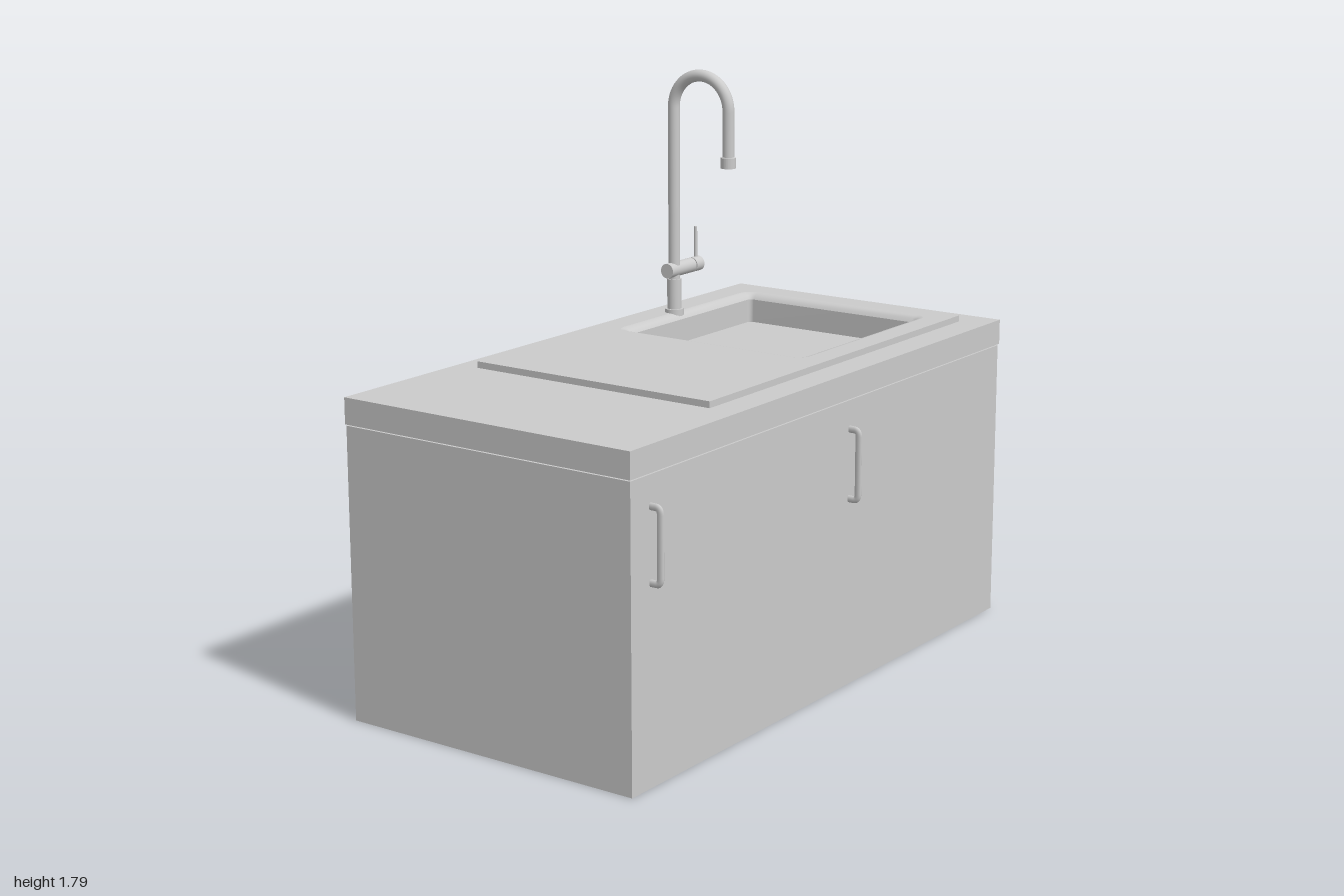
import * as THREE from 'three';

const material = new THREE.MeshStandardMaterial({ color: 0xcccccc, side: THREE.DoubleSide });

function add(parent, name, geometry, x = 0, y = 0, z = 0) {
  const mesh = new THREE.Mesh(geometry, material);
  mesh.name = name;
  mesh.position.set(x, y, z);
  parent.add(mesh);
  return mesh;
}

// Bowl opening in plan, grown by an offset
const BOWL = { x0: 0.12, x1: 0.80, z0: -0.355, z1: 0.29 };

function bowlOutline(offset) {
  const r = 0.015 + offset, points = [];
  const corners = [
    [BOWL.x1, BOWL.z1, 0], [BOWL.x0, BOWL.z1, 1],
    [BOWL.x0, BOWL.z0, 2], [BOWL.x1, BOWL.z0, 3],
  ];
  for (const [x, z, quarter] of corners) {
    const cx = x + (x === BOWL.x1 ? -0.015 : 0.015);
    const cz = z + (z === BOWL.z1 ? -0.015 : 0.015);
    for (let i = 0; i <= 6; i++) {
      const a = (quarter + i / 6) * Math.PI / 2;
      points.push(new THREE.Vector2(cx + r * Math.cos(a), cz + r * Math.sin(a)));
    }
  }
  return points;
}

// Horizontal slab with the bowl cut out of it
function slab(x0, x1, z0, z1, y0, y1, offset) {
  const shape = new THREE.Shape([[x0, z0], [x1, z0], [x1, z1], [x0, z1]]
    .map(([x, z]) => new THREE.Vector2(x, z)));
  shape.holes.push(new THREE.Path(bowlOutline(offset)));
  const geometry = new THREE.ExtrudeGeometry(shape, { depth: y1 - y0, bevelEnabled: false });
  return geometry.rotateX(Math.PI / 2).translate(0, y1, 0);
}

// Skin between rings given as [offset, height], from the rim downwards
function loft(rings) {
  const positions = [], index = [];
  let n = 0;
  for (const [offset, y] of rings) {
    const outline = bowlOutline(offset);
    n = outline.length;
    for (const p of outline) positions.push(p.x, y, p.y);
  }
  for (let r = 0; r < rings.length - 1; r++) {
    for (let i = 0; i < n; i++) {
      const a = r * n + i, b = r * n + (i + 1) % n;
      index.push(a, b, a + n, b, b + n, a + n);
    }
  }
  const geometry = new THREE.BufferGeometry();
  geometry.setAttribute('position', new THREE.Float32BufferAttribute(positions, 3));
  geometry.setIndex(index);
  geometry.computeVertexNormals();
  return geometry;
}

function makeHandle(x) {
  const path = new THREE.CurvePath();
  const v = (y, z) => new THREE.Vector3(0, y, z);
  path.add(new THREE.LineCurve3(v(0.592, 0.485), v(0.592, 0.508)));
  path.add(new THREE.QuadraticBezierCurve3(v(0.592, 0.508), v(0.592, 0.523), v(0.61, 0.523)));
  path.add(new THREE.LineCurve3(v(0.61, 0.523), v(0.79, 0.523)));
  path.add(new THREE.QuadraticBezierCurve3(v(0.79, 0.523), v(0.808, 0.523), v(0.808, 0.508)));
  path.add(new THREE.LineCurve3(v(0.808, 0.508), v(0.808, 0.485)));
  const geometry = new THREE.TubeGeometry(path, 60, 0.011, 12).scale(0.65, 1, 1);
  return geometry.translate(x, 0, 0);
}

function makeFaucet() {
  const faucet = new THREE.Group();
  faucet.name = 'faucet';
  faucet.position.set(0.415, 0, -0.39);
  const rod = (r, h) => new THREE.CylinderGeometry(r, r, h, 32);

  add(faucet, 'baseFlange', rod(0.031, 0.022), 0, 1.001, 0);
  add(faucet, 'lowerBody', rod(0.023, 0.12), 0, 1.05, 0);
  add(faucet, 'bodyNeck', rod(0.018, 0.05), 0, 1.12, 0);

  // Crosswise mixer valve with its lever knob
  add(faucet, 'valveBody', rod(0.024, 0.132).rotateZ(Math.PI / 2), 0.026, 1.14, 0);
  add(faucet, 'valveJoint', rod(0.021, 0.006).rotateZ(Math.PI / 2), 0.094, 1.14, 0);
  add(faucet, 'valveKnob', rod(0.024, 0.04).rotateZ(Math.PI / 2), 0.116, 1.14, 0);
  add(faucet, 'lever', rod(0.005, 0.115), 0.12, 1.207, 0);

  // Gooseneck: riser, half circle and short drop
  const path = new THREE.CurvePath();
  const reach = 0.212, r = reach / 2, top = 1.67;
  const v = (y, z) => new THREE.Vector3(0, y, z);
  path.add(new THREE.LineCurve3(v(1.14, 0), v(top, 0)));
  const k = r * 0.5523;
  path.add(new THREE.CubicBezierCurve3(v(top, 0), v(top + k, 0), v(top + r, r - k), v(top + r, r)));
  path.add(new THREE.CubicBezierCurve3(v(top + r, r), v(top + r, r + k), v(top + k, reach), v(top, reach)));
  path.add(new THREE.LineCurve3(v(top, reach), v(1.515, reach)));
  add(faucet, 'gooseneck', new THREE.TubeGeometry(path, 120, 0.019, 24));

  // Hollow spout tip
  const tip = [[0.018, 0.036], [0.024, 0.034], [0.024, 0], [0.018, 0], [0.018, 0.012], [0, 0.012]]
    .map(([x, y]) => new THREE.Vector2(x, y));
  const tipGeometry = new THREE.LatheGeometry(tip, 32).toNonIndexed();
  tipGeometry.computeVertexNormals();
  add(faucet, 'spoutTip', tipGeometry, 0, 1.49, reach);
  return faucet;
}

export function createModel() {
  const model = new THREE.Group();
  model.name = 'sinkCabinet';

  // Cabinet and worktop
  add(model, 'cabinet', new THREE.BoxGeometry(1.99, 0.897, 1.015), -0.005, 0.4485, -0.0175);
  add(model, 'worktop', slab(-1, 1, -0.53, 0.49, 0.9, 0.98, 0.035));

  // Sink: drainer plate, softly dipped rim, walls and floor
  const sink = new THREE.Group();
  sink.name = 'sink';
  model.add(sink);
  add(sink, 'drainerPlate', slab(-0.5, 0.9, -0.455, 0.395, 0.98, 1.0, 0.03));
  add(sink, 'bowlRim', loft([[0.03, 1.0], [0.02, 0.998], [0.008, 0.992], [0, 0.98]]));
  add(sink, 'bowlWalls', loft([[0, 0.98], [0, 0.903]]));
  const floor = new THREE.ShapeGeometry(new THREE.Shape(bowlOutline(0)));
  add(sink, 'bowlFloor', floor.rotateX(Math.PI / 2).scale(1, -1, 1), 0, 0.903, 0);
  // Turn the floor to face up
  const index = floor.index.array;
  for (let i = 0; i < index.length; i += 3) [index[i], index[i + 1]] = [index[i + 1], index[i]];
  floor.computeVertexNormals();

  // Door handles
  for (const x of [-0.91, 0.09]) add(model, 'doorHandle', makeHandle(x));

  model.add(makeFaucet());
  return model;
}
